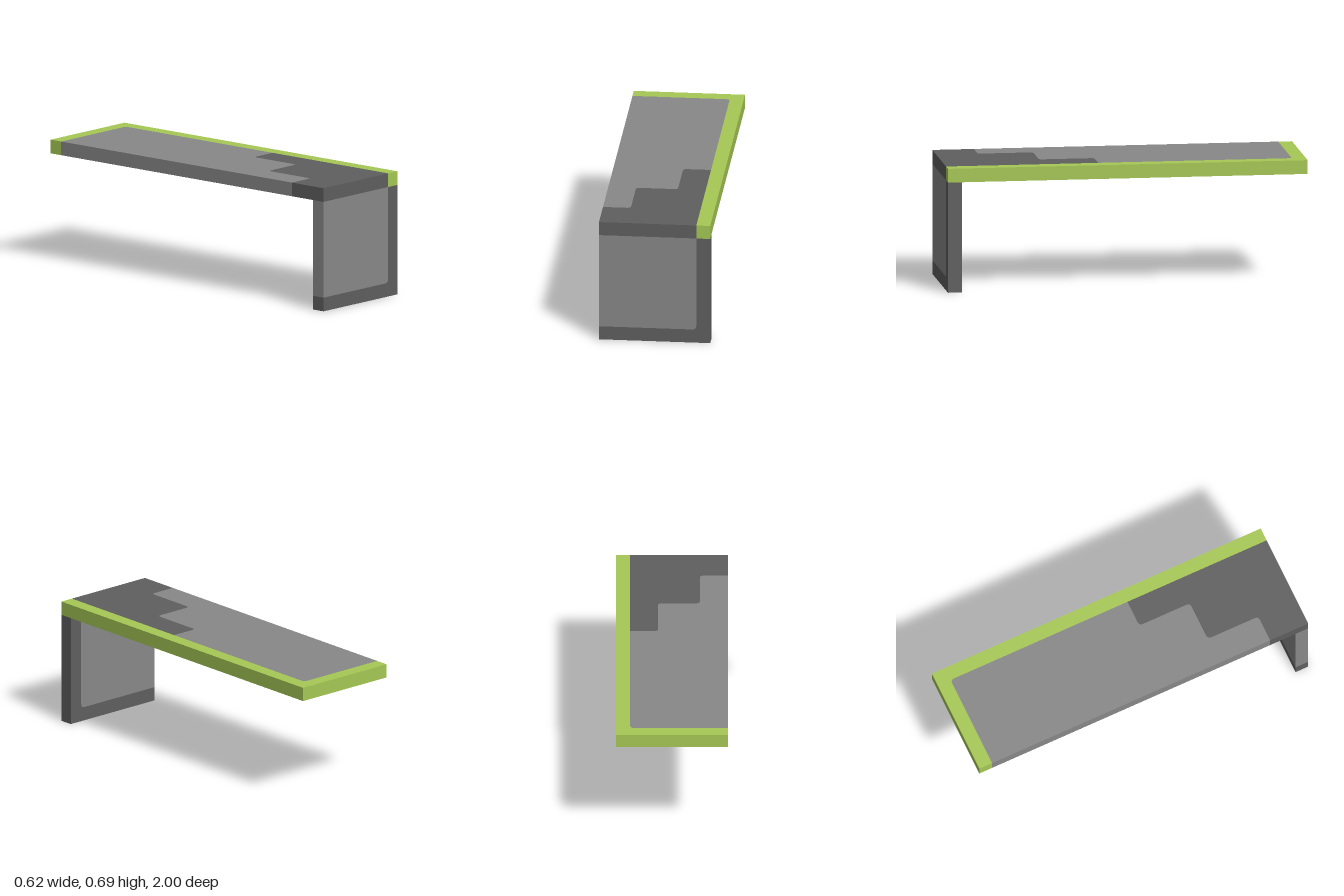
import * as THREE from 'three';

const U = 2 / 26; // module: board thickness and border width
const R = 0.3;    // corner rounding, in modules

const paint = (name, color) => {
  const m = new THREE.MeshStandardMaterial({ color });
  m.name = name;
  return m;
};

// Polygon from [x, y, rounded?] corners, in modules
function outline(corners) {
  const pts = corners.map(([x, y, r]) => ({ p: new THREE.Vector2(x * U, y * U), r: r ? R * U : 0 }));
  const shape = new THREE.Shape();
  pts.forEach(({ p, r }, i) => {
    const prev = pts[(i + pts.length - 1) % pts.length].p;
    const next = pts[(i + 1) % pts.length].p;
    const a = p.clone().add(prev.clone().sub(p).setLength(r));
    const b = p.clone().add(next.clone().sub(p).setLength(r));
    if (i === 0) shape.moveTo(a.x, a.y);
    else shape.lineTo(a.x, a.y);
    if (r) shape.quadraticCurveTo(p.x, p.y, b.x, b.y);
  });
  return shape;
}

const board = (corners) =>
  new THREE.ExtrudeGeometry(outline(corners), { depth: U, bevelEnabled: false, curveSegments: 4 });

export function createModel() {
  const model = new THREE.Group();
  model.name = 'benchPanel';
  const green = paint('limeGreen', 0xa6c955);
  const grey = paint('midGrey', 0x888888);
  const dark = paint('darkGrey', 0x5f5f5f);

  const add = (parent, name, geometry, material) => {
    const mesh = new THREE.Mesh(geometry, material);
    mesh.name = name;
    parent.add(mesh);
  };

  // Horizontal board: drawn as (x, -z), laid flat
  const top = new THREE.Group();
  top.name = 'topBoard';
  top.rotation.x = -Math.PI / 2;
  top.position.y = 8 * U;
  model.add(top);

  // Stepped seam shared by the two grey areas
  const steps = [[-4, -10], [-2, -10, 1], [-2, -6, 1], [1, -6, 1], [1, -2, 1], [3, -2]];
  add(top, 'greenEdge', board([[4, -13], [4, 13], [-4, 13], [-4, 12], [3, 12, 1], [3, -13]]), green);
  add(top, 'greyTop', board([...steps, [3, 12, 1], [-4, 12]]), grey);
  add(top, 'darkSteppedEnd', board([[-4, -13], [3, -13], ...steps.slice().reverse()]), dark);

  // Upright board at the front
  const leg = new THREE.Group();
  leg.name = 'frontLeg';
  leg.position.z = 12 * U;
  model.add(leg);
  add(leg, 'darkLegBorder', board([[-4, 0], [4, 0], [4, 8], [3, 8], [3, 1, 1], [-4, 1]]), dark);
  add(leg, 'greyLegPanel', board([[-4, 1], [3, 1, 1], [3, 8], [-4, 8]]), grey);

  return model;
}
